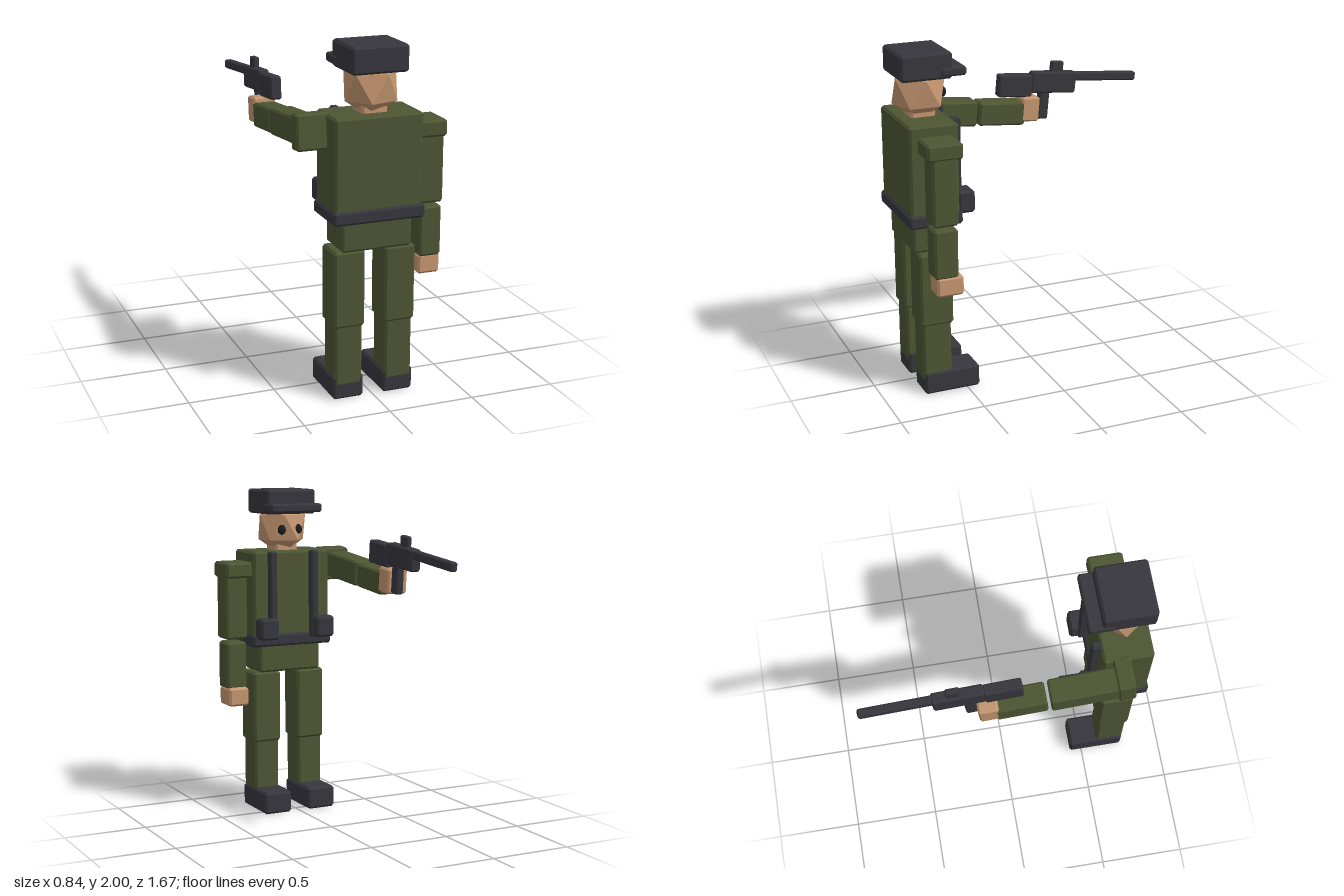
import * as THREE from 'three';
import { ConvexGeometry } from 'three/addons/geometries/ConvexGeometry.js';

const flat = (name, color) => {
  const m = new THREE.MeshStandardMaterial({ color });
  m.name = name;
  return m;
};

// Box with flat chamfered edges
function chamferBox(w, h, d, c) {
  const pts = [];
  for (const x of [-1, 1]) for (const y of [-1, 1]) for (const z of [-1, 1]) {
    const a = x * w / 2, b = y * h / 2, e = z * d / 2;
    pts.push(
      new THREE.Vector3(a, b - y * c, e - z * c),
      new THREE.Vector3(a - x * c, b, e - z * c),
      new THREE.Vector3(a - x * c, b - y * c, e));
  }
  return new ConvexGeometry(pts);
}

// Low-poly head: two staggered rings of five points between two poles
function headGeometry(rx, ry, rz) {
  const pts = [new THREE.Vector3(0, ry, 0), new THREE.Vector3(0, -ry, 0)];
  for (const s of [-1, 1]) for (let i = 0; i < 5; i++) {
    const a = i * Math.PI * 2 / 5;
    pts.push(new THREE.Vector3(
      s * 0.894 * Math.cos(a) * rx, s * 0.447 * ry, 0.894 * Math.sin(a) * rz));
  }
  return new ConvexGeometry(pts);
}

export function createModel() {
  const green = flat('uniform green', 0x4d5533);
  const dark = flat('dark gear', 0x37363d);
  const skin = flat('skin', 0xc49670);
  const black = flat('eye black', 0x1c1c20);

  const model = new THREE.Group();
  model.name = 'soldier';
  const group = name => {
    const g = new THREE.Group();
    g.name = name;
    model.add(g);
    return g;
  };
  const add = (parent, name, geo, mat, x = 0, y = 0, z = 0) => {
    const m = new THREE.Mesh(geo, mat);
    m.name = name;
    m.position.set(x, y, z);
    parent.add(m);
    return m;
  };
  // Box given by its extents along x, y and z
  const span = (parent, name, mat, [x0, x1], [y0, y1], [z0, z1], c = 0.013) =>
    add(parent, name, chamferBox(x1 - x0, y1 - y0, z1 - z0, c), mat,
      (x0 + x1) / 2, (y0 + y1) / 2, (z0 + z1) / 2);
  // Box given by centre and size, pitched slightly down toward -z
  const pitched = (parent, name, mat, pos, size, c = 0.011) => {
    const m = add(parent, name, chamferBox(...size, c), mat, ...pos);
    m.rotation.x = -0.09;
    return m;
  };

  // Head and cap
  const head = group('head');
  add(head, 'face', headGeometry(0.166, 0.175, 0.168), skin, 0, 1.765, 0.68);
  span(head, 'neck', skin, [-0.075, 0.075], [1.58, 1.68], [0.605, 0.75]);
  for (const s of [-1, 1]) {
    const eye = add(head, 'eye', new THREE.IcosahedronGeometry(0.03, 1), black,
      s * 0.055, 1.755, 0.56);
    eye.scale.set(0.9, 1.1, 0.8);
  }
  span(head, 'cap', dark, [-0.163, 0.163], [1.85, 2], [0.53, 0.83]);
  span(head, 'capBrim', dark, [-0.17, 0.17], [1.863, 1.915], [0.452, 0.6], 0.01);

  // Torso, belt and webbing
  const body = group('body');
  span(body, 'torso', green, [-0.255, 0.255], [1.06, 1.625], [0.537, 0.823]);
  span(body, 'hips', green, [-0.205, 0.205], [0.872, 1.07], [0.56, 0.798]);
  span(body, 'belt', dark, [-0.267, 0.267], [1.037, 1.115], [0.522, 0.835]);
  for (const s of [-1, 1]) {
    add(body, 'strap', chamferBox(0.045, 0.54, 0.06, 0.008), dark,
      s * 0.14, 1.355, 0.52);
    add(body, 'pouch', chamferBox(0.12, 0.13, 0.1, 0.013), dark,
      s * 0.188, 1.153, 0.491);
  }

  // Legs and boots
  for (const s of [-1, 1]) {
    const leg = group('leg');
    leg.position.x = s * 0.149;
    span(leg, 'thigh', green, [-0.09, 0.09], [0.428, 0.87], [0.58, 0.776]);
    span(leg, 'shin', green, [-0.08, 0.08], [0.08, 0.465], [0.593, 0.764]);
    span(leg, 'boot', dark, [-0.09, 0.09], [0, 0.135], [0.425, 0.76]);
  }

  // Arm hanging at the side
  const lowered = group('loweredArm');
  span(lowered, 'shoulder', green, [0.235, 0.42], [1.465, 1.56], [0.57, 0.776]);
  span(lowered, 'upperArm', green, [0.272, 0.413], [1.085, 1.52], [0.6, 0.75]);
  span(lowered, 'forearm', green, [0.277, 0.408], [0.775, 1.067], [0.605, 0.745]);
  span(lowered, 'hand', skin, [0.277, 0.408], [0.67, 0.785], [0.575, 0.733]);

  // Arm stretched forward
  const raised = group('raisedArm');
  pitched(raised, 'shoulder', green, [-0.328, 1.53, 0.645], [0.19, 0.2, 0.098]);
  pitched(raised, 'upperArm', green, [-0.345, 1.516, 0.438], [0.142, 0.15, 0.435]);
  pitched(raised, 'forearm', green, [-0.343, 1.478, 0.06], [0.132, 0.14, 0.292]);
  pitched(raised, 'hand', skin, [-0.343, 1.487, -0.122], [0.132, 0.15, 0.115]);

  // Rifle
  const rifle = group('rifle');
  const x = -0.322;
  pitched(rifle, 'stock', dark, [x, 1.637, -0.032], [0.066, 0.135, 0.215], 0.009);
  pitched(rifle, 'receiver', dark, [x, 1.634, -0.28], [0.066, 0.128, 0.29], 0.009);
  pitched(rifle, 'barrel', dark, [x, 1.637, -0.615], [0.047, 0.052, 0.435], 0.008);
  pitched(rifle, 'sight', dark, [x, 1.718, -0.308], [0.034, 0.08, 0.08], 0.007);
  pitched(rifle, 'grip', dark, [x, 1.508, -0.216], [0.05, 0.19, 0.065], 0.008);

  return model;
}
